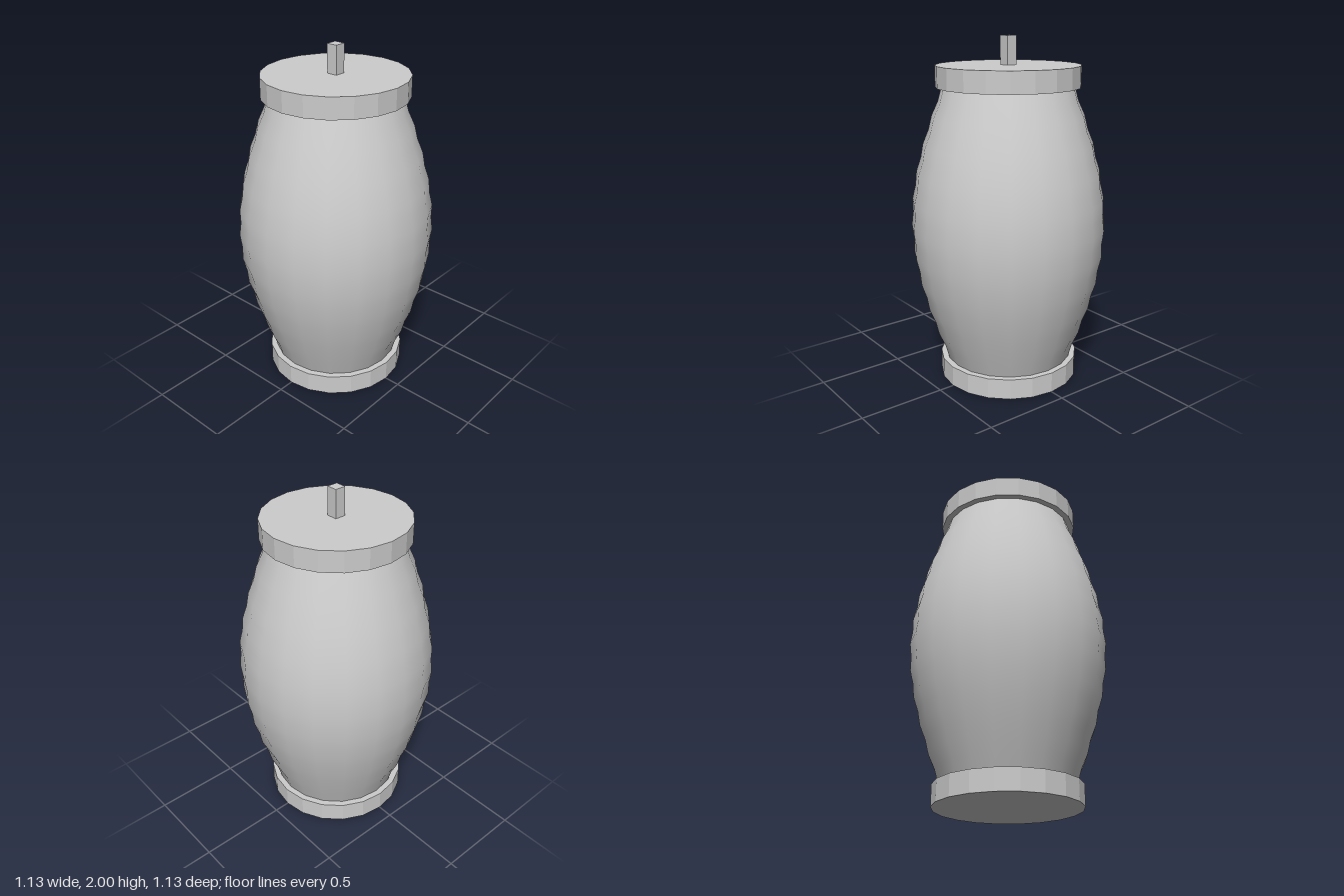
import * as THREE from 'three';

const SIDES = 20;

export function createModel() {
  const group = new THREE.Group();
  const grey = new THREE.MeshStandardMaterial({ color: 0xcccccc });
  grey.name = 'light grey';

  const add = (name, geometry, y) => {
    const mesh = new THREE.Mesh(geometry, grey);
    mesh.name = name;
    mesh.position.y = y;
    group.add(mesh);
  };

  // Bulging paper shade: ten bands with shallow creases between the ribs
  const height = 1.6, bands = 10, steps = bands * 4;
  const profile = [];
  for (let i = 0; i <= steps; i++) {
    const t = i / steps;
    profile.push(new THREE.Vector2(0.375 + 0.19 * Math.sin(Math.PI * t), height * t));
  }
  const shade = new THREE.LatheGeometry(profile, SIDES);
  // Press the creases in, keeping the smooth normals of the plain bulge
  const pos = shade.attributes.position;
  for (let i = 0; i < pos.count; i++) {
    const x = pos.getX(i), z = pos.getZ(i), r = Math.hypot(x, z);
    const dent = 0.008 * Math.sin(Math.PI * bands * pos.getY(i) / height) ** 2;
    const k = (r - dent) / r;
    pos.setX(i, x * k);
    pos.setZ(i, z * k);
  }
  add('shade', shade, 0.12);

  // Faceted end caps
  const cap = new THREE.CylinderGeometry(0.41, 0.41, 0.12, SIDES).toNonIndexed();
  cap.computeVertexNormals();
  add('bottomCap', cap, 0.06);
  add('topCap', cap, 1.78);

  // Square hanging stem
  add('stem', new THREE.BoxGeometry(0.064, 0.16, 0.064), 1.92);

  return group;
}
